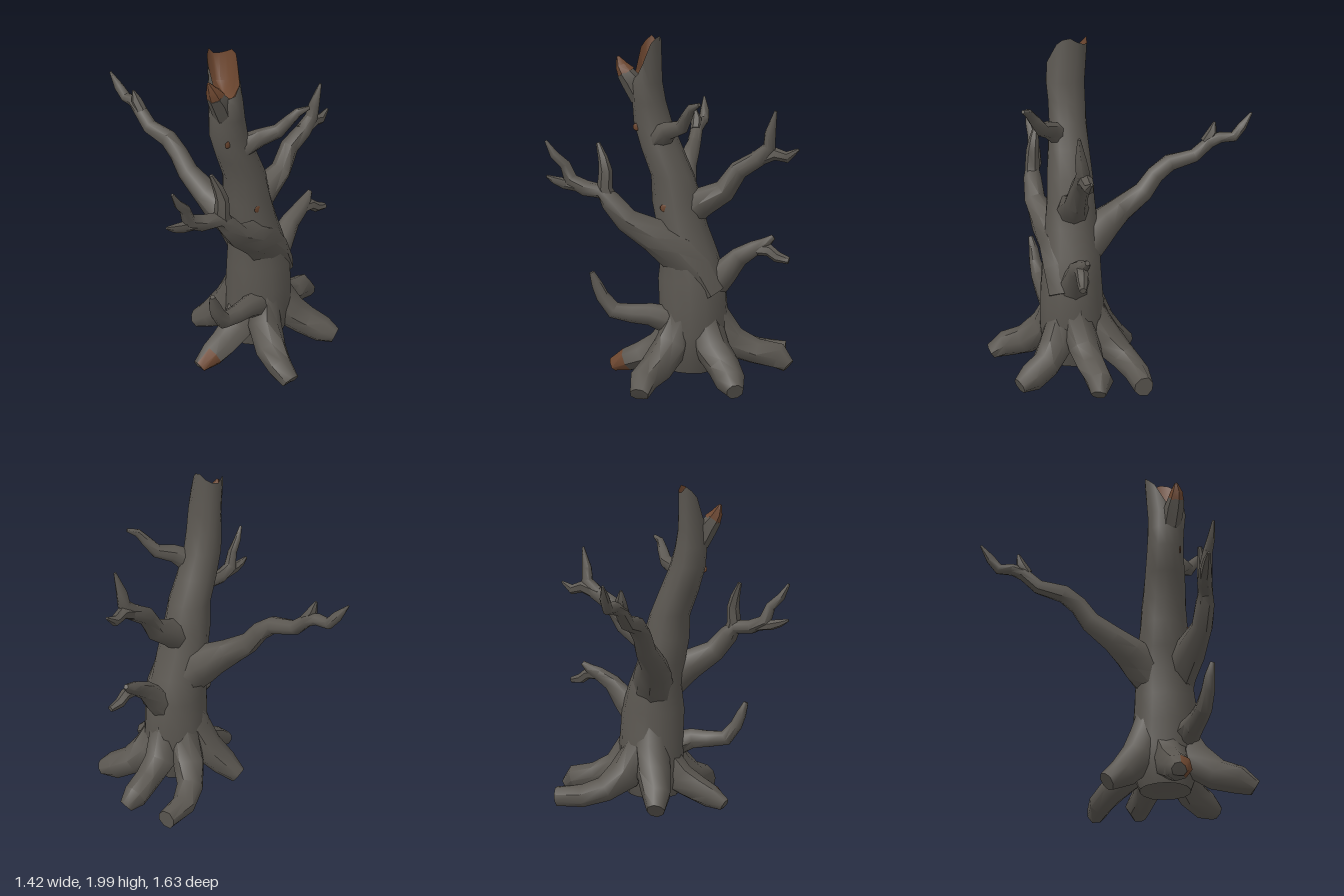
import * as THREE from 'three';
import { toCreasedNormals } from 'three/addons/utils/BufferGeometryUtils.js';

const mat = (name, color, side = THREE.FrontSide) => {
  const m = new THREE.MeshStandardMaterial({ color, side });
  m.name = name;
  return m;
};

export function createModel() {
  const tree = new THREE.Group();
  tree.name = 'deadTree';
  const bark = mat('bark', 0x5a5650);
  const wood = mat('brokenWood', 0x6c462f, THREE.DoubleSide);

  let seed = 7;
  const rand = () => (seed = (seed * 16807) % 2147483647) / 2147483647;

  // Skin a list of vertex rings, with optional centre points closing the ends
  function loft(rings, start, end) {
    const n = rings[0].length, pos = [], idx = [];
    rings.flat().forEach(p => pos.push(p.x, Math.max(0, p.y), p.z));
    for (let i = 0; i < rings.length - 1; i++) for (let j = 0; j < n; j++) {
      const a = i * n + j, b = i * n + (j + 1) % n;
      idx.push(a, b, a + n, b, b + n, a + n);
    }
    const cap = (c, base, flip) => {
      const k = pos.length / 3;
      pos.push(c.x, Math.max(0, c.y), c.z);
      for (let j = 0; j < n; j++) {
        const a = base + j, b = base + (j + 1) % n;
        flip ? idx.push(b, a, k) : idx.push(a, b, k);
      }
    };
    if (start) cap(start, 0, true);
    if (end) cap(end, (rings.length - 1) * n, false);
    const g = new THREE.BufferGeometry();
    g.setAttribute('position', new THREE.Float32BufferAttribute(pos, 3));
    g.setIndex(idx);
    return toCreasedNormals(g, 0.9);
  }

  function add(name, geo, material, parent = tree) {
    const m = new THREE.Mesh(geo, material);
    m.name = name;
    parent.add(m);
    return m;
  }

  // Gnarled limb along points [x, y, z, radius]
  function limb(name, pts, sides = 7, material = bark, parent = tree) {
    const p = pts.map(q => new THREE.Vector3(q[0], q[1], q[2]));
    const t = p.map((_, i) => p[Math.min(i + 1, p.length - 1)].clone().sub(p[Math.max(i - 1, 0)]).normalize());
    const u = new THREE.Vector3(0.31, 0.2, 0.93).cross(t[0]).normalize();
    const rings = p.map((c, i) => {
      if (i) u.applyQuaternion(new THREE.Quaternion().setFromUnitVectors(t[i - 1], t[i]));
      const v = t[i].clone().cross(u);
      return Array.from({ length: sides }, (_, j) => {
        const a = j / sides * Math.PI * 2, r = pts[i][3] * (0.98 + 0.16 * rand());
        return c.clone().addScaledVector(u, r * Math.cos(a)).addScaledVector(v, r * Math.sin(a));
      });
    });
    return add(name, loft(rings, p[0], p[p.length - 1]), material, parent);
  }

  // Expose bare wood on the faces of a mesh that pass the test
  function strip(mesh, test) {
    const g = mesh.geometry, p = g.attributes.position;
    const tri = new THREE.Triangle(), n = new THREE.Vector3(), c = new THREE.Vector3();
    for (let i = 0; i < p.count; i += 3) {
      tri.setFromAttributeAndIndices(p, i, i + 1, i + 2);
      g.addGroup(i, 3, test(tri.getNormal(n), tri.getMidpoint(c)) ? 1 : 0);
    }
    mesh.material = [bark, wood];
  }

  // Trunk: leaning stack of ellipses [y, x, radiusX, z, radiusZ]
  const N = 14;
  const ellipse = ([y, cx, rx, cz, rz], wobble = 0.06) =>
    Array.from({ length: N }, (_, j) => {
      const a = j / N * Math.PI * 2, k = 1 + wobble * (rand() - 0.5);
      return new THREE.Vector3(cx + rx * k * Math.cos(a), y, cz - rz * k * Math.sin(a));
    });
  const trunk = [
    [0.06, 0.1, 0.16, 0.29, 0.15], [0.17, 0.105, 0.195, 0.29, 0.19], [0.3, 0.115, 0.205, 0.29, 0.203],
    [0.45, 0.112, 0.203, 0.295, 0.192], [0.6, 0.107, 0.198, 0.295, 0.183], [0.75, 0.085, 0.165, 0.29, 0.17],
    [0.9, 0.045, 0.147, 0.29, 0.158], [1.05, 0.01, 0.142, 0.29, 0.145], [1.2, -0.012, 0.123, 0.295, 0.135],
    [1.35, -0.075, 0.118, 0.297, 0.125], [1.5, -0.13, 0.108, 0.3, 0.112], [1.62, -0.15, 0.093, 0.305, 0.113],
    [1.73, -0.16, 0.08, 0.31, 0.118],
  ].map(r => ellipse(r));

  // Jagged rim, torn low towards the front right
  const heights = [1.99, 1.965, 1.95, 1.95, 1.985, 1.96, 1.92, 1.8, 1.76, 1.76, 1.78, 1.84, 1.95, 1.98];
  const rim = ellipse([0, -0.163, 0.069, 0.3, 0.12], 0);
  rim.forEach((p, j) => {
    p.y = heights[j];
    if (p.y > 1.9) p.z = 0.28 + (p.z - 0.3) * 0.85;
  });
  add('trunk', loft([...trunk, rim], new THREE.Vector3(0.1, 0.18, 0.29)), bark);

  // Torn hollow inside the broken top
  const pit = new THREE.Vector3(-0.165, 1.74, 0.3);
  const inner = rim.map(p => new THREE.Vector3(pit.x + (p.x - pit.x) * 0.75, 1.745 + (p.y - 1.745) * 0.25, pit.z + (p.z - pit.z) * 0.75));
  add('brokenTop', loft([rim, inner], null, pit), wood);
  limb('splinter', [[-0.19, 1.64, 0.335, 0.055], [-0.24, 1.74, 0.35, 0.055], [-0.275, 1.79, 0.36, 0.047]], 6);
  limb('splinterTip', [[-0.27, 1.782, 0.36, 0.05], [-0.295, 1.825, 0.365, 0.034], [-0.318, 1.875, 0.36, 0.008]], 6, wood);

  // Branches: each is a main stem followed by its forks
  const branches = {
    lowerRightBranch: [
      [[0.1, 0.32, 0.35, 0.1], [0, 0.36, 0.41, 0.08], [-0.1, 0.4, 0.45, 0.062], [-0.2, 0.4, 0.47, 0.05],
        [-0.31, 0.415, 0.49, 0.047], [-0.37, 0.5, 0.51, 0.036], [-0.4, 0.57, 0.52, 0.03], [-0.425, 0.645, 0.535, 0.014]],
    ],
    middleRightBranch: [
      [[0.23, 0.52, 0.34, 0.09], [0.15, 0.66, 0.35, 0.112], [0.04, 0.78, 0.38, 0.112], [-0.08, 0.87, 0.44, 0.088],
        [-0.22, 0.96, 0.5, 0.064], [-0.31, 1.07, 0.515, 0.054], [-0.36, 1.12, 0.515, 0.042], [-0.47, 1.13, 0.5, 0.042],
        [-0.56, 1.17, 0.5, 0.038], [-0.59, 1.26, 0.51, 0.028], [-0.65, 1.32, 0.53, 0.022], [-0.695, 1.4, 0.54, 0.008]],
      [[-0.31, 1.06, 0.515, 0.045], [-0.345, 1.14, 0.515, 0.042], [-0.34, 1.24, 0.51, 0.036], [-0.36, 1.31, 0.5, 0.028],
        [-0.395, 1.395, 0.485, 0.012]],
      [[-0.5, 1.14, 0.5, 0.035], [-0.6, 1.15, 0.5, 0.03], [-0.66, 1.165, 0.5, 0.022], [-0.71, 1.185, 0.505, 0.008]],
    ],
    upperLeftBranch: [
      [[0.03, 0.95, 0.29, 0.1], [0.16, 1.05, 0.28, 0.08], [0.29, 1.12, 0.27, 0.06], [0.37, 1.24, 0.25, 0.052],
        [0.48, 1.31, 0.24, 0.046], [0.545, 1.38, 0.24, 0.036], [0.55, 1.46, 0.25, 0.03], [0.585, 1.59, 0.26, 0.008]],
      [[0.46, 1.305, 0.24, 0.044], [0.57, 1.345, 0.225, 0.038], [0.64, 1.325, 0.21, 0.03], [0.705, 1.37, 0.2, 0.008]],
    ],
    topFrontBranch: [
      [[-0.12, 1.37, 0.31, 0.075], [-0.06, 1.43, 0.36, 0.064], [0.01, 1.475, 0.41, 0.05], [0.1, 1.505, 0.455, 0.038],
        [0.145, 1.575, 0.5, 0.03], [0.18, 1.625, 0.53, 0.023], [0.235, 1.65, 0.56, 0.01]],
    ],
    lowerLeftBranch: [
      [[0.16, 0.52, 0.29, 0.11], [0.3, 0.64, 0.28, 0.075], [0.38, 0.74, 0.27, 0.052], [0.47, 0.79, 0.255, 0.042],
        [0.53, 0.825, 0.235, 0.032], [0.57, 0.86, 0.22, 0.014]],
      [[0.46, 0.79, 0.255, 0.036], [0.55, 0.785, 0.25, 0.034], [0.6, 0.75, 0.25, 0.03], [0.67, 0.735, 0.25, 0.018]],
    ],
    backBranch: [
      [[0.07, 0.74, 0.25, 0.13], [0.03, 0.83, 0.15, 0.115], [-0.01, 0.885, 0.08, 0.1], [-0.055, 0.95, -0.01, 0.078],
        [-0.085, 1.05, -0.15, 0.058], [-0.1, 1.15, -0.22, 0.056], [-0.11, 1.22, -0.31, 0.05], [-0.14, 1.25, -0.46, 0.042],
        [-0.15, 1.33, -0.55, 0.036], [-0.145, 1.36, -0.62, 0.034], [-0.15, 1.36, -0.7, 0.03], [-0.165, 1.42, -0.75, 0.027],
        [-0.185, 1.5, -0.81, 0.006]],
      [[-0.15, 1.33, -0.53, 0.034], [-0.16, 1.39, -0.57, 0.03], [-0.17, 1.45, -0.585, 0.008]],
    ],
  };
  for (const [name, stems] of Object.entries(branches)) {
    const g = new THREE.Group();
    g.name = name;
    tree.add(g);
    stems.forEach((s, i) => limb(i ? 'fork' + i : 'stem', s, i ? 6 : 8, bark, g));
  }

  // Spreading roots, rising into the trunk
  const roots = {
    frontRoot: [[0.09, 0.6, 0.35, 0.08], [0.075, 0.38, 0.395, 0.09], [0.03, 0.23, 0.45, 0.098], [-0.02, 0.125, 0.58, 0.09], [-0.045, 0.085, 0.7, 0.076], [-0.04, 0.03, 0.79, 0.05]],
    frontLeftRoot: [[0.16, 0.6, 0.32, 0.08], [0.19, 0.38, 0.35, 0.09], [0.26, 0.21, 0.4, 0.1], [0.35, 0.13, 0.46, 0.09], [0.42, 0.08, 0.55, 0.078], [0.465, 0.05, 0.62, 0.048]],
    leftRoot: [[0.18, 0.6, 0.29, 0.08], [0.22, 0.38, 0.28, 0.09], [0.32, 0.215, 0.23, 0.092], [0.46, 0.155, 0.19, 0.078], [0.59, 0.125, 0.155, 0.073], [0.655, 0.075, 0.165, 0.042]],
    backLeftRoot: [[0.13, 0.6, 0.25, 0.08], [0.14, 0.38, 0.2, 0.09], [0.2, 0.2, 0.09, 0.098], [0.28, 0.125, -0.01, 0.078], [0.4, 0.08, -0.075, 0.067], [0.565, 0.07, -0.105, 0.056]],
    backRoot: [[0.08, 0.6, 0.24, 0.08], [0.06, 0.38, 0.195, 0.1], [0.01, 0.23, 0.13, 0.098], [-0.06, 0.12, 0.04, 0.083], [-0.1, 0.05, -0.05, 0.052]],
    rightRoot: [[0.09, 0.45, 0.3, 0.1], [0.03, 0.28, 0.305, 0.11], [-0.08, 0.17, 0.32, 0.092], [-0.19, 0.11, 0.335, 0.08], [-0.28, 0.075, 0.34, 0.072], [-0.375, 0.025, 0.34, 0.04]],
  };
  for (const [name, pts] of Object.entries(roots)) {
    const root = limb(name, pts, 8);
    if (name === 'rightRoot') strip(root, (n, c) => c.x < -0.28 && n.z > 0.4);
  }

  // Bare patches in the bark
  for (const [x, y, z] of [[-0.2, 1.48, 0.385], [-0.02, 1.03, 0.432]]) {
    const patch = add('barePatch', new THREE.SphereGeometry(0.022, 7, 5), wood);
    patch.position.set(x, y, z);
    patch.scale.z = 0.2;
  }
  return tree;
}
